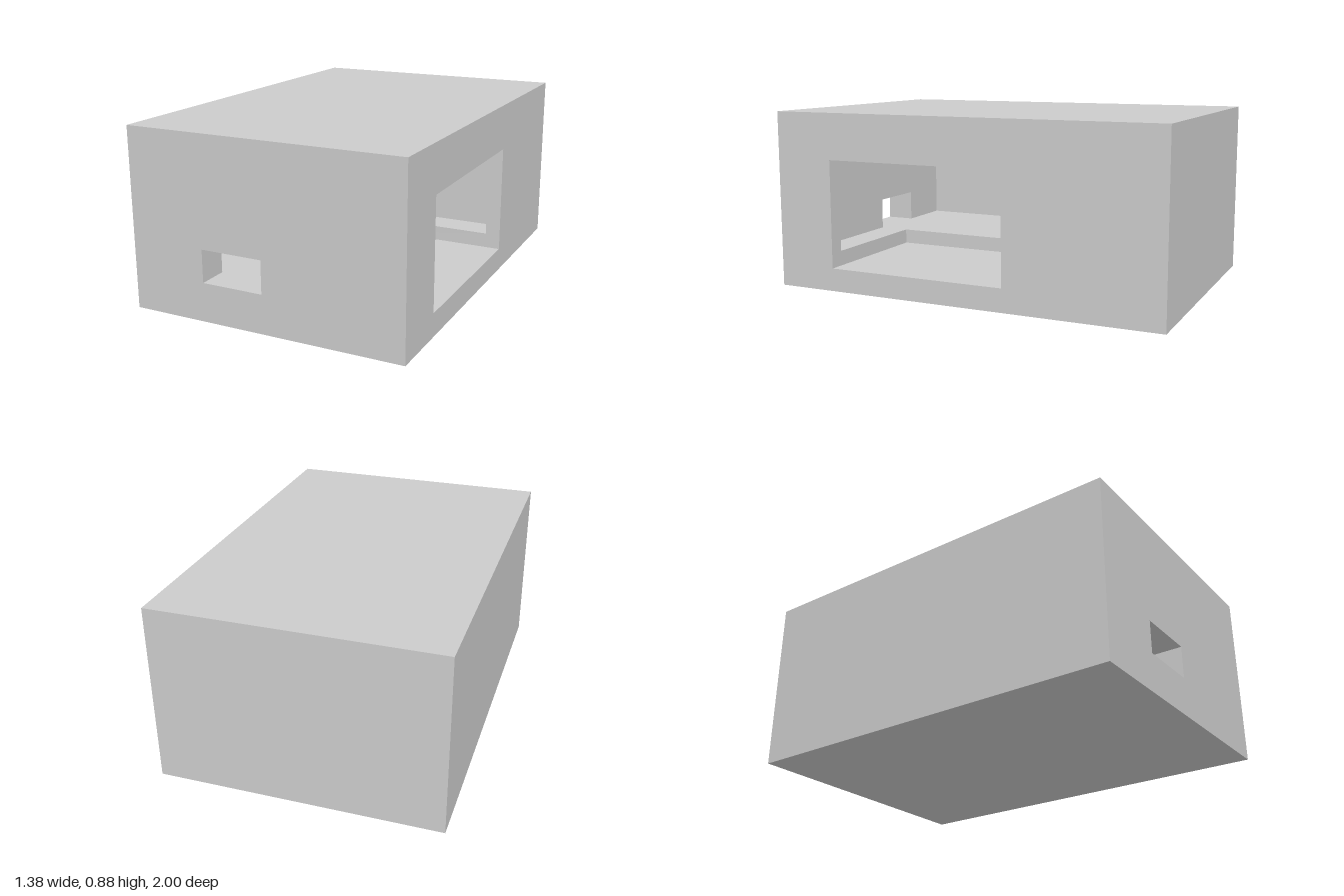
import * as THREE from 'three';

const material = new THREE.MeshStandardMaterial({ color: 0xcccccc, flatShading: true });

const rect = (u0, u1, v0, v1) => [[u0, v0], [u1, v0], [u1, v1], [u0, v1]];

// Flat one-sided wall: 2D outline is (z,y) on axis x, (x,z) on axis y, (x,y) on axis z
function face(group, name, axis, dir, at, outline, hole) {
  const toPoints = (list) => list.map(([u, v]) => new THREE.Vector2(u, v));
  const shape = new THREE.Shape(toPoints(outline));
  if (hole) shape.holes.push(new THREE.Path(toPoints(hole)));
  const geometry = new THREE.ShapeGeometry(shape);
  const p = geometry.attributes.position;
  for (let i = 0; i < p.count; i++) {
    const u = p.getX(i), v = p.getY(i);
    if (axis === 'x') p.setXYZ(i, at, v, u);
    else if (axis === 'y') p.setXYZ(i, u, at, v);
    else p.setXYZ(i, u, v, at);
  }
  // Turn the triangles so that the face looks along dir
  if ((axis === 'z') !== (dir > 0)) geometry.index.array.reverse();
  geometry.computeVertexNormals();
  const mesh = new THREE.Mesh(geometry, material);
  mesh.name = name;
  group.add(mesh);
}

export function createModel() {
  const model = new THREE.Group();
  model.name = 'hollowBlock';
  const part = (name) => {
    const g = new THREE.Group();
    g.name = name;
    model.add(g);
    return g;
  };

  const X = 0.69, Y = 0.885, Z = 1;                        // outer block
  const rx = 0.615, floor = 0.19, ceil = 0.81, zb = -0.385, zf = 0.85; // room
  const w = { z0: -0.23, z1: 0.695, y0: 0.115, y1: 0.655, end: 0 };    // side window
  const s = { x0: -0.31, x1: 0, y1: 0.35 };                // front slot

  // Outer shell
  const shell = part('outerShell');
  face(shell, 'frontWall', 'z', 1, Z, rect(-X, X, 0, Y), rect(s.x0, s.x1, floor, s.y1));
  face(shell, 'backWall', 'z', -1, -Z, rect(-X, X, 0, Y));
  face(shell, 'leftWall', 'x', 1, X, rect(-Z, Z, 0, Y), rect(w.z0, w.z1, w.y0, w.y1));
  face(shell, 'rightWall', 'x', -1, -X, rect(-Z, Z, 0, Y));
  face(shell, 'roof', 'y', 1, Y, rect(-X, X, -Z, Z));
  face(shell, 'base', 'y', -1, 0, rect(-X, X, -Z, Z));

  // Room inside; its floor runs out through the slot and is notched by the window
  const room = part('room');
  face(room, 'roomFloor', 'y', 1, floor, [
    [-rx, zb], [rx, zb], [rx, w.z0], [w.end, w.z0], [w.end, w.z1], [rx, w.z1],
    [rx, zf], [s.x1, zf], [s.x1, Z], [s.x0, Z], [s.x0, zf], [-rx, zf],
  ]);
  face(room, 'roomCeiling', 'y', -1, ceil, rect(-rx, rx, zb, zf));
  face(room, 'roomBack', 'z', 1, zb, rect(-rx, rx, floor, ceil));
  face(room, 'roomRight', 'x', 1, -rx, rect(zb, zf, floor, ceil));
  face(room, 'roomLeft', 'x', -1, rx, [
    [zb, floor], [w.z0, floor], [w.z0, w.y1], [w.z1, w.y1],
    [w.z1, floor], [zf, floor], [zf, ceil], [zb, ceil],
  ]);
  face(room, 'roomFront', 'z', -1, zf, [
    [-rx, floor], [s.x0, floor], [s.x0, s.y1], [s.x1, s.y1],
    [s.x1, floor], [rx, floor], [rx, ceil], [-rx, ceil],
  ]);

  // Window reveals and the shallow recess cut into the floor
  const windowGroup = part('sideWindow');
  const jamb = [[w.end, w.y0], [X, w.y0], [X, w.y1], [rx, w.y1], [rx, floor], [w.end, floor]];
  face(windowGroup, 'backJamb', 'z', 1, w.z0, jamb);
  face(windowGroup, 'frontJamb', 'z', -1, w.z1, jamb);
  face(windowGroup, 'recessFloor', 'y', 1, w.y0, rect(w.end, X, w.z0, w.z1));
  face(windowGroup, 'recessEnd', 'x', 1, w.end, rect(w.z0, w.z1, w.y0, floor));
  face(windowGroup, 'lintel', 'y', -1, w.y1, rect(rx, X, w.z0, w.z1));

  // Slot reveals
  const slot = part('frontSlot');
  face(slot, 'slotRight', 'x', 1, s.x0, rect(zf, Z, floor, s.y1));
  face(slot, 'slotLeft', 'x', -1, s.x1, rect(zf, Z, floor, s.y1));
  face(slot, 'slotTop', 'y', -1, s.y1, rect(s.x0, s.x1, zf, Z));

  return model;
}
